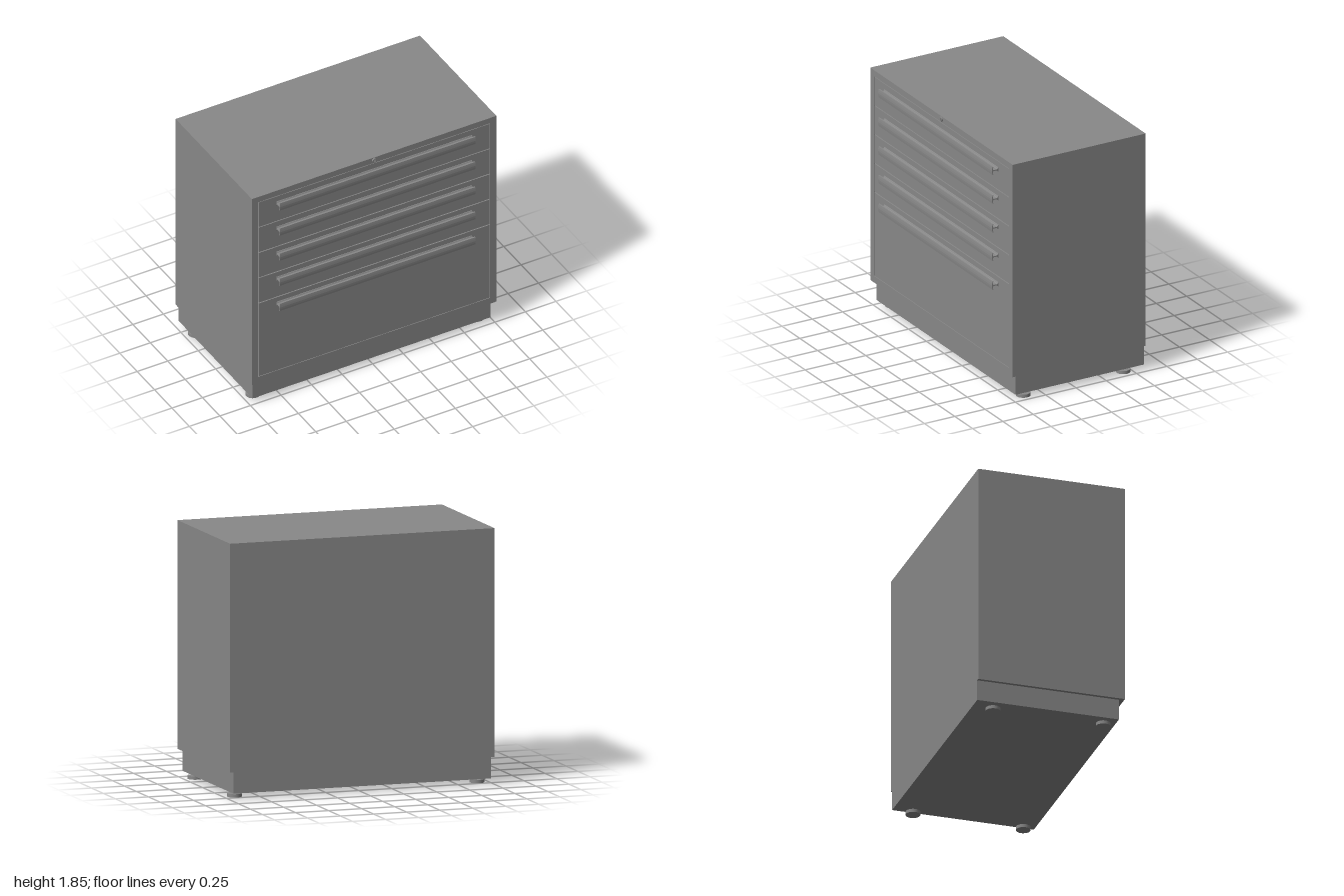
import * as THREE from 'three';

const FRONT = 0.522, BACK = -0.575;

export function createModel() {
  const model = new THREE.Group();
  model.name = 'drawerCabinet';
  const grey = new THREE.MeshStandardMaterial({ color: 0x898989 });

  const add = (name, geometry, x = 0, y = 0, z = 0, parent = model) => {
    const mesh = new THREE.Mesh(geometry, grey);
    mesh.name = name;
    mesh.position.set(x, y, z);
    parent.add(mesh);
  };
  // Box given by its limits on each axis
  const addBox = (name, x0, x1, y0, y1, z0, z1, parent) =>
    add(name, new THREE.BoxGeometry(x1 - x0, y1 - y0, z1 - z0),
      (x0 + x1) / 2, (y0 + y1) / 2, (z0 + z1) / 2, parent);
  const polygon = (points) => new THREE.Shape(points.map(([x, y]) => new THREE.Vector2(x, y)));
  const rect = (x0, x1, y0, y1) => polygon([[x0, y0], [x1, y0], [x1, y1], [x0, y1]]);

  // Housing: an open-fronted shell with a recessed panel behind the drawer fronts
  const recess = 0.025;
  const frame = rect(-1, 1, 0.198, 1.847);
  frame.holes.push(rect(-0.949, 0.949, 0.25, 1.8));
  add('housing', new THREE.ExtrudeGeometry(frame, { depth: FRONT - BACK, bevelEnabled: false }), 0, 0, BACK);
  addBox('innerPanel', -0.949, 0.949, 0.25, 1.8, BACK, FRONT - recess);

  // Plinth, set back at the front and sides
  addBox('plinth', -0.975, 0.975, 0.044, 0.198, BACK, 0.485);

  // Handle section in (z, y): flared root, thin web, gently curved grip plate with lips
  const upper = [
    [0, 0.017], [0.003, 0.016], [0.007, 0.008], [0.013, 0.004], [0.040, 0.004],
    [0.045, 0.008], [0.044, 0.027], [0.040, 0.028], [0.040, 0.0315], [0.050, 0.0315], [0.052, 0.016],
  ];
  const lower = upper.map(([z, y]) => [z, -y]).reverse();
  const handleGeometry = new THREE.ExtrudeGeometry(polygon([...upper, [0.053, 0], ...lower]),
    { depth: 1.6, bevelEnabled: false });
  handleGeometry.translate(0, 0, -0.8).rotateY(-Math.PI / 2);

  // Drawers: four shallow, one deep, separated by narrow grooves
  const drawers = [[1.579, 1.796], [1.355, 1.573], [1.131, 1.348], [0.907, 1.124], [0.254, 0.9]];
  drawers.forEach(([bottom, top], i) => {
    const drawer = new THREE.Group();
    drawer.name = 'drawer' + (i + 1);
    model.add(drawer);
    addBox('drawerFront', -0.944, 0.944, bottom, top, FRONT - recess, FRONT, drawer);
    add('handle', handleGeometry, 0, 1.735 - i * 0.2228, FRONT, drawer);
  });

  // Lock with a vertical key slot
  const face = new THREE.Shape().absarc(0, 0, 0.018, 0, Math.PI * 2);
  face.holes.push(rect(-0.003, 0.003, -0.011, 0.011));
  add('lock', new THREE.ExtrudeGeometry(face, { depth: 0.011, bevelEnabled: false, curveSegments: 24 }), 0, 1.826, FRONT);

  // Levelling feet
  const pad = new THREE.CylinderGeometry(0.053, 0.053, 0.024, 32);
  const stem = new THREE.CylinderGeometry(0.012, 0.012, 0.03, 20);
  for (const x of [-0.917, 0.917]) {
    for (const z of [-0.438, 0.387]) {
      const foot = new THREE.Group();
      foot.name = 'foot';
      foot.position.set(x, 0, z);
      model.add(foot);
      add('footPad', pad, 0, 0.012, 0, foot);
      add('footStem', stem, 0, 0.035, 0, foot);
    }
  }
  return model;
}
